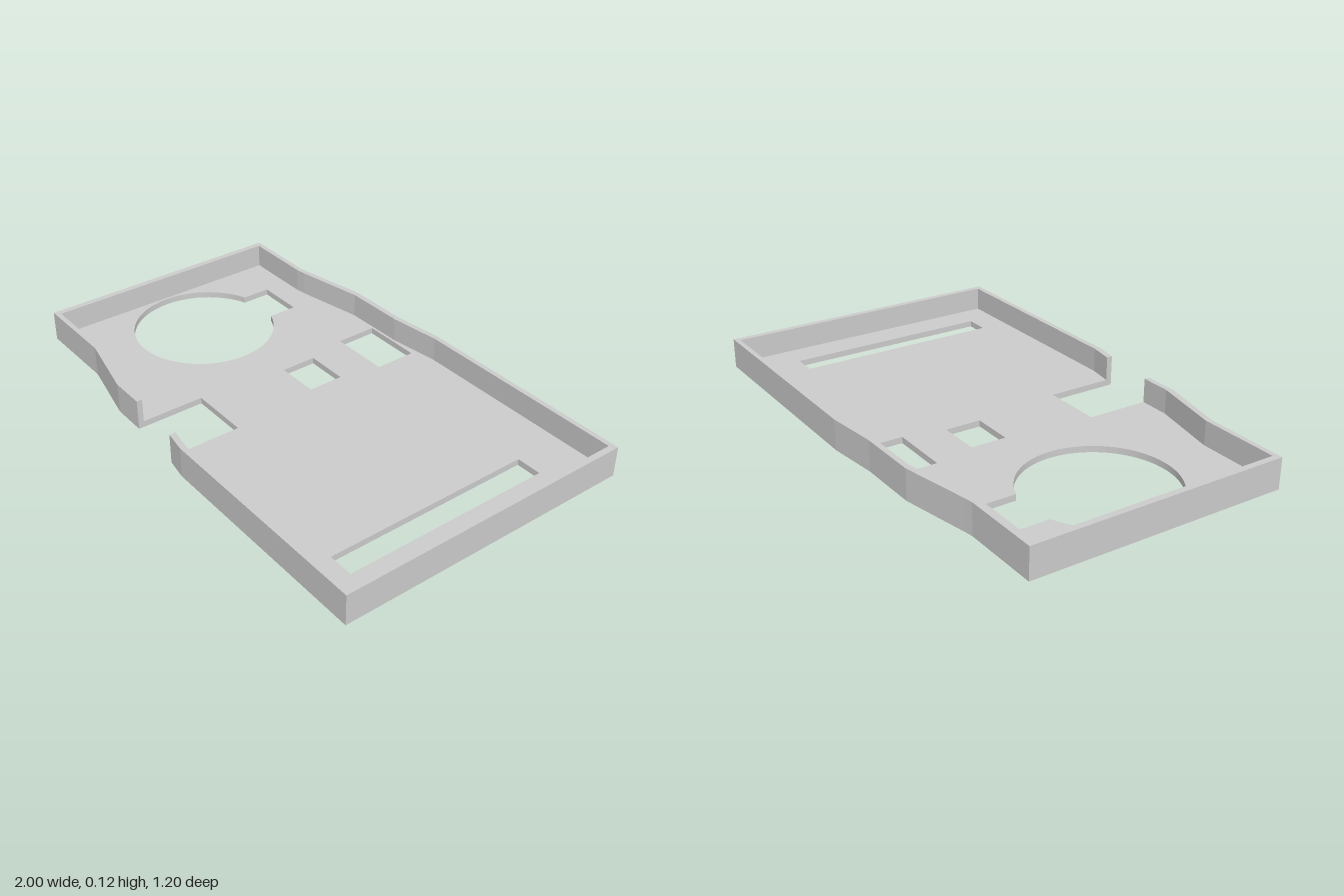
import * as THREE from 'three';

const HEIGHT = 0.122, FLOOR = 0.025;
const SLOT = { left: -0.245, right: 0, depth: 0.3 };

// Plan points are [x, z]; shapes are drawn with -z so they extrude upwards.
const toVectors = pts => pts.map(([x, z]) => new THREE.Vector2(x, -z));
const rectangle = (x0, x1, z0, z1) =>
  new THREE.Path(toVectors([[x0, z0], [x1, z0], [x1, z1], [x0, z1]]));

function slab(name, shape, bottom, top, material) {
  const geometry = new THREE.ExtrudeGeometry(shape, {
    depth: top - bottom, bevelEnabled: false, curveSegments: 48,
  });
  geometry.rotateX(-Math.PI / 2).translate(0, bottom, 0);
  const mesh = new THREE.Mesh(geometry, material);
  mesh.name = name;
  return mesh;
}

export function createModel() {
  const group = new THREE.Group();
  group.name = 'tray';
  const material = new THREE.MeshStandardMaterial({ color: 0xcccccc });

  // Outer and inner edges of the rim, from the slot's right side round the back to its left side
  const outer = [
    [SLOT.right, 0.588], [0.09, 0.602], [1, 0.602], [1, -0.602], [0.08, -0.602], [-0.13, -0.578],
    [-0.38, -0.575], [-0.66, -0.519], [-0.69, -0.514], [-1, -0.514],
    [-1, 0.514], [-0.66, 0.514], [-0.385, 0.574], [SLOT.left, 0.574],
  ];
  const inner = [
    [SLOT.right, 0.564], [0.1, 0.58], [0.975, 0.58], [0.975, -0.582], [0.09, -0.582], [-0.12, -0.556],
    [-0.37, -0.553], [-0.65, -0.499], [-0.69, -0.494], [-0.975, -0.494],
    [-0.975, 0.494], [-0.65, 0.494], [-0.37, 0.552], [SLOT.left, 0.552],
  ];

  // Floor plate with the open slot at the front
  const floor = new THREE.Shape(toVectors([
    ...outer, [SLOT.left, SLOT.depth], [SLOT.right, SLOT.depth],
  ]));

  // Round opening with a square notch at its back
  const cx = -0.677, r = 0.288, notchLeft = -0.773, notchRight = -0.578, notchZ = 0.39;
  const round = new THREE.Path();
  round.absarc(cx, 0, r, Math.acos((notchLeft - cx) / r),
    Math.acos((notchRight - cx) / r) + Math.PI * 2, false);
  round.lineTo(notchRight, notchZ);
  round.lineTo(notchLeft, notchZ);
  round.closePath();

  // Rectangular openings
  floor.holes.push(
    round,
    rectangle(-0.245, 0, -0.545, -0.375),
    rectangle(-0.21, -0.037, -0.21, -0.065),
    rectangle(0.755, 0.855, -0.38, 0.465),
  );
  group.add(slab('floor', floor, 0, FLOOR, material));

  // Rim wall, broken at the slot
  const rim = new THREE.Shape(toVectors([...outer, ...inner.reverse()]));
  group.add(slab('rimWall', rim, FLOOR, HEIGHT, material));
  return group;
}
